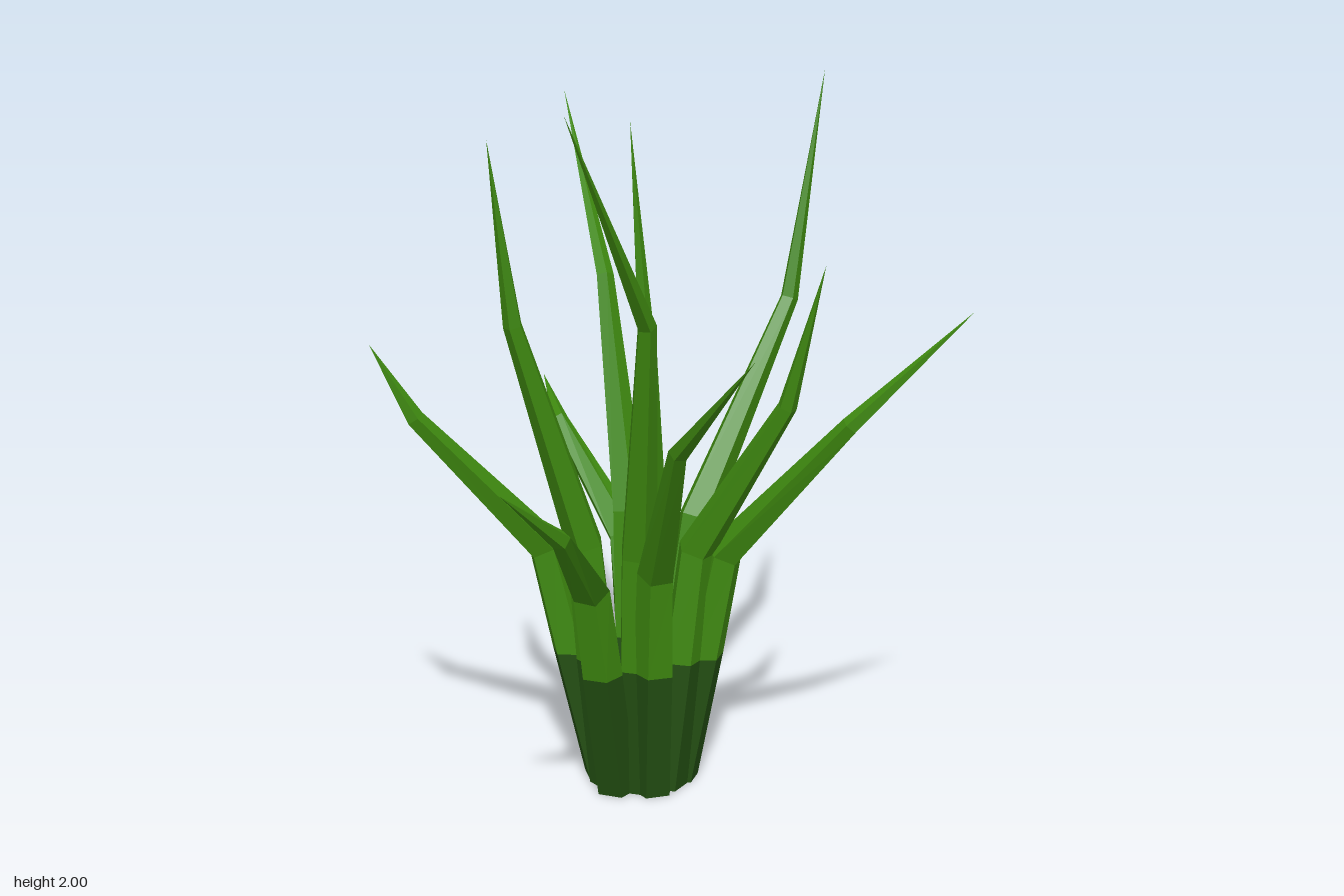
import * as THREE from 'three';

const SIDES = 5;
const SPLIT = 0.39; // height where the dark sheath ends
const UP = new THREE.Vector3(0, 1, 0);

// Each blade: base, lower bend, upper bend, tip
const BLADES = [
  [[0.14, 0, 0], [0.265, 0.75, 0], [0.61, 1.35, 0], [0.73, 2, 0]],
  [[0.10, 0, -0.07], [0.125, 0.76, -0.14], [0.2, 1.41, -0.35], [0.39, 1.9, -0.8]],
  [[0.14, 0, -0.08], [0.18, 0.65, -0.23], [0.19, 0.93, -0.565], [0.33, 1, -0.84]],
  [[-0.03, 0, -0.06], [-0.16, 0.7, -0.16], [-0.51, 1.11, -0.28], [-0.61, 1.32, -0.34]],
  [[-0.05, 0, 0], [-0.13, 0.74, -0.01], [-0.355, 1.39, -0.025], [-0.44, 1.89, -0.01]],
  [[-0.07, 0, 0.05], [-0.22, 0.66, 0.13], [-0.52, 0.94, 0.405], [-0.74, 1.11, 0.46]],
  [[-0.01, 0, 0.08], [-0.07, 0.74, 0.15], [-0.17, 1.42, 0.31], [-0.54, 2, 0.46]],
  [[0.01, 0, 0.12], [-0.06, 0.7, 0.22], [-0.21, 1.13, 0.49], [-0.27, 1.44, 0.84]],
  [[0.07, 0, 0.11], [0.12, 0.72, 0.17], [0.215, 1.17, 0.43], [0.23, 1.57, 0.55]],
  [[0.13, 0, 0.09], [0.2, 0.7, 0.2], [0.345, 1.12, 0.54], [0.57, 1.44, 0.76]],
  [[0.04, 0, 0.03], [0.03, 0.77, 0.07], [-0.02, 1.28, 0.125], [-0.06, 1.92, 0.1]],
];

// Ring of points around centre, square to tangent, with its ridge facing inward
function ring(centre, tangent, out, radius) {
  const ridge = out.clone().negate().addScaledVector(tangent, out.dot(tangent)).normalize();
  const side = new THREE.Vector3().crossVectors(tangent, ridge);
  return Array.from({ length: SIDES }, (_, i) => {
    const a = (i / SIDES) * Math.PI * 2;
    return centre.clone()
      .addScaledVector(ridge, Math.cos(a) * radius)
      .addScaledVector(side, Math.sin(a) * radius);
  });
}

// Faceted skin through successive rings, optionally closed at the bottom
function skin(rings, capBottom) {
  const p = [];
  const tri = (...v) => v.forEach((q) => p.push(q.x, q.y, q.z));
  for (let r = 0; r < rings.length - 1; r++) {
    for (let i = 0; i < SIDES; i++) {
      const j = (i + 1) % SIDES;
      const [a, b, c, d] = [rings[r][i], rings[r][j], rings[r + 1][j], rings[r + 1][i]];
      tri(a, b, c);
      if (c.distanceTo(d) > 1e-5) tri(a, c, d);
    }
  }
  if (capBottom) {
    for (let i = 1; i < SIDES - 1; i++) tri(rings[0][0], rings[0][i + 1], rings[0][i]);
  }
  const g = new THREE.BufferGeometry();
  g.setAttribute('position', new THREE.Float32BufferAttribute(p, 3));
  g.computeVertexNormals();
  return g;
}

export function createModel() {
  const model = new THREE.Group();
  model.name = 'grassTuft';
  const leafGreen = new THREE.MeshStandardMaterial({ color: 0x3f8a10 });
  leafGreen.name = 'leafGreen';
  const darkGreen = new THREE.MeshStandardMaterial({ color: 0x234f12 });
  darkGreen.name = 'darkGreen';

  BLADES.forEach((points, n) => {
    const [base, low, high, tip] = points.map((q) => new THREE.Vector3(...q));
    const split = base.clone().lerp(low, SPLIT / low.y);
    const out = tip.clone().sub(base).setY(0).normalize();
    const bend = (a, b, c) => b.clone().sub(a).normalize().add(c.clone().sub(b).normalize()).normalize();

    const bottomRing = ring(base, UP, out, 0.06);
    const splitRing = ring(split, UP, out, 0.06);
    const lowRing = ring(low, bend(base, low, high), out, 0.054);
    const highRing = ring(high, bend(low, high, tip), out, 0.027);
    const tipRing = Array(SIDES).fill(tip);

    const blade = new THREE.Group();
    blade.name = `blade${n + 1}`;
    // Dark sheath near the ground
    const sheath = new THREE.Mesh(skin([bottomRing, splitRing], true), darkGreen);
    sheath.name = 'bladeBase';
    // Bright bent leaf tapering to a point
    const leaf = new THREE.Mesh(skin([splitRing, lowRing, highRing, tipRing], false), leafGreen);
    leaf.name = 'bladeLeaf';
    blade.add(sheath, leaf);
    model.add(blade);
  });
  return model;
}
